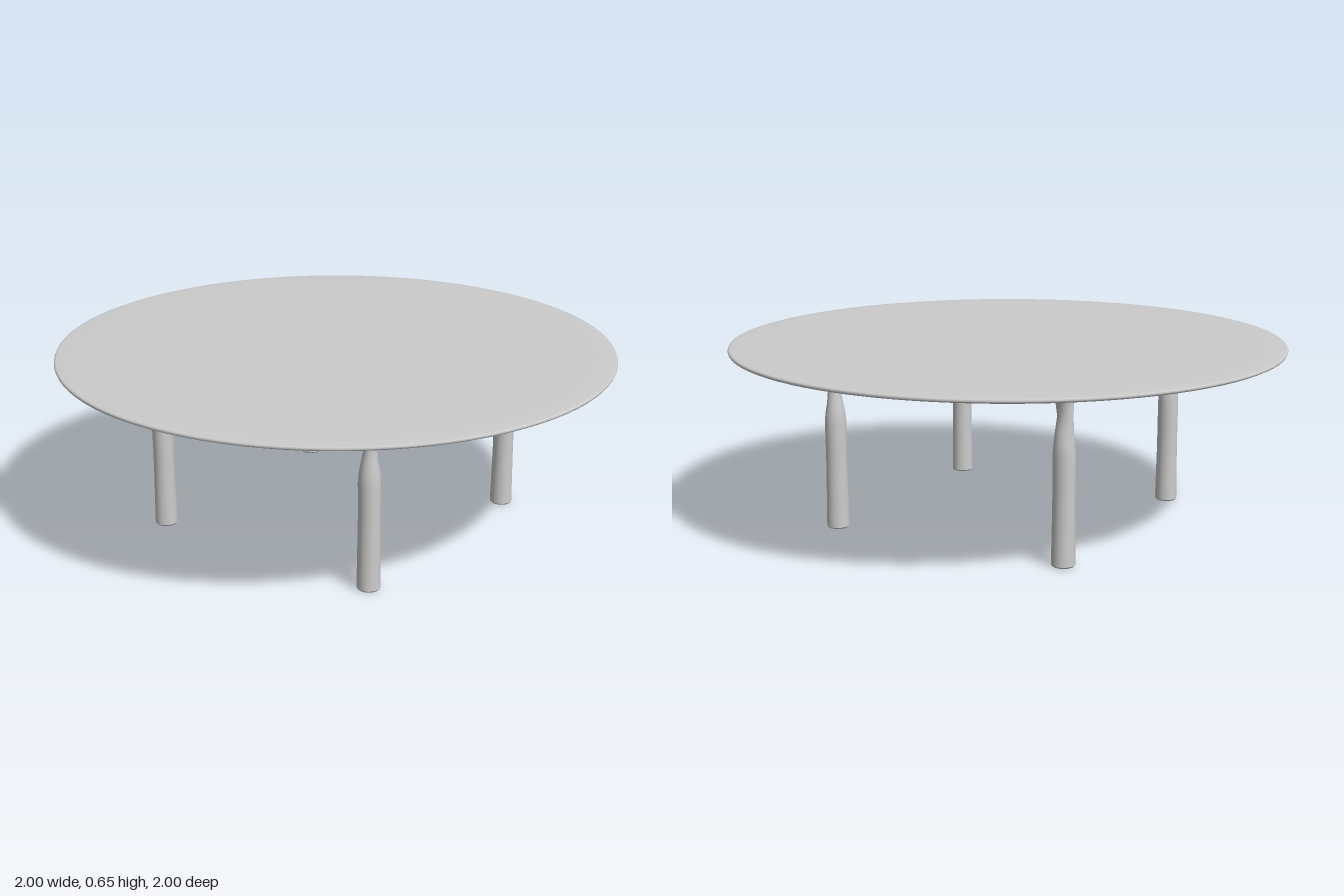
import * as THREE from 'three';

const material = new THREE.MeshStandardMaterial({ color: 0xcccccc });

function addMesh(parent, geometry, name) {
  const mesh = new THREE.Mesh(geometry, material);
  mesh.name = name;
  parent.add(mesh);
  return mesh;
}

// Stacks elliptical rings [y, radiusX, radiusZ, shiftZ] into a closed, smooth body.
function loft(rings, sides = 28) {
  const positions = [], index = [];
  for (const [y, rx, rz, dz] of rings) {
    for (let i = 0; i < sides; i++) {
      const a = (i / sides) * Math.PI * 2;
      positions.push(rx * Math.cos(a), y, dz + rz * Math.sin(a));
    }
  }
  for (let j = 0; j < rings.length - 1; j++) {
    for (let i = 0; i < sides; i++) {
      const a = j * sides + i, b = j * sides + (i + 1) % sides;
      index.push(a, a + sides, b, b, a + sides, b + sides);
    }
  }
  const geometry = new THREE.BufferGeometry();
  geometry.setAttribute('position', new THREE.Float32BufferAttribute(positions, 3));
  geometry.setIndex(index);
  geometry.computeVertexNormals();
  return geometry;
}

// Leg sections; the bracket at the top reaches towards the table centre (+z here).
function legRings(neckX, neckZ, reach) {
  return [
    [0.005, 0.041, 0.041, 0],
    [0.05, 0.041, 0.04, 0],
    [0.2, 0.038, 0.038, 0],
    [0.28, 0.036, 0.038, 0],
    [0.38, 0.039, 0.038, 0],
    [0.42, 0.036, 0.035, 0],
    [0.46, 0.029, (neckZ + 0.034) / 2, 0],
    [0.51, neckX, neckZ, -0.003],
    [0.55, neckX + 0.003, neckZ + 0.003, 0],
    [0.58, 0.036, 0.038, 0.01],
    [0.595, 0.052, 0.055 + reach * 0.1, 0.025],
    [0.605, 0.076, 0.065 + reach * 0.15, 0.04],
    [0.618, 0.09, 0.07 + reach * 0.2, 0.048],
    [0.638, 0.092, 0.07 + reach * 0.2, 0.048],
  ];
}

export function createModel() {
  const table = new THREE.Group();
  table.name = 'roundTable';

  // Thin disc with a soft edge and a slightly thinner rim band
  const profile = [
    [0, 0.634], [0.9, 0.634], [0.955, 0.637], [0.992, 0.637], [0.998, 0.64],
    [1, 0.645], [0.998, 0.65], [0.992, 0.652], [0.955, 0.653], [0.9, 0.655], [0, 0.655],
  ].map(([r, y]) => new THREE.Vector2(r, y));
  addMesh(table, new THREE.LatheGeometry(profile, 96), 'tabletop');

  // Four legs with pinched necks and inward brackets
  for (const front of [true, false]) {
    const geometry = loft(front ? legRings(0.021, 0.021, 0) : legRings(0.021, 0.028, 0.1));
    for (const side of [-1, 1]) {
      const leg = new THREE.Group();
      leg.name = (front ? 'front' : 'back') + (side > 0 ? 'LeftLeg' : 'RightLeg');
      leg.position.set(side * 0.445, 0, front ? 0.455 : -0.45);
      if (front) leg.rotation.y = Math.PI;
      addMesh(leg, geometry, 'legShaft');
      const foot = addMesh(leg, new THREE.CylinderGeometry(0.041, 0.037, 0.005, 28), 'foot');
      foot.position.y = 0.0025;
      table.add(leg);
    }
  }

  // Flattened lumps on the underside: x, y, z, half sizes x, y, z, tilt
  const lumps = [
    [-0.21, 0.598, 0.15, 0.065, 0.022, 0.05, 0.1],
    [-0.02, 0.618, 0.09, 0.075, 0.02, 0.05, 0],
    [0.16, 0.612, 0.16, 0.06, 0.02, 0.05, -0.25],
    [0.21, 0.605, -0.16, 0.05, 0.016, 0.045, -0.4],
    [0.02, 0.622, -0.13, 0.06, 0.018, 0.025, 0],
    [-0.2, 0.605, -0.15, 0.055, 0.02, 0.05, 0.15],
  ];
  for (const [x, y, z, sx, sy, sz, tilt] of lumps) {
    const lump = addMesh(table, new THREE.SphereGeometry(1, 20, 14), 'undersideLump');
    lump.position.set(x, y, z);
    lump.scale.set(sx, sy, sz);
    lump.rotation.z = tilt;
    // Stub that joins the lump to the underside
    const stub = addMesh(table, new THREE.CylinderGeometry(sx * 0.7, sx * 0.5, 0.64 - y, 16), 'lumpStub');
    stub.position.set(x, (0.64 + y) / 2, z);
    stub.scale.z = sz / sx;
  }

  return table;
}
